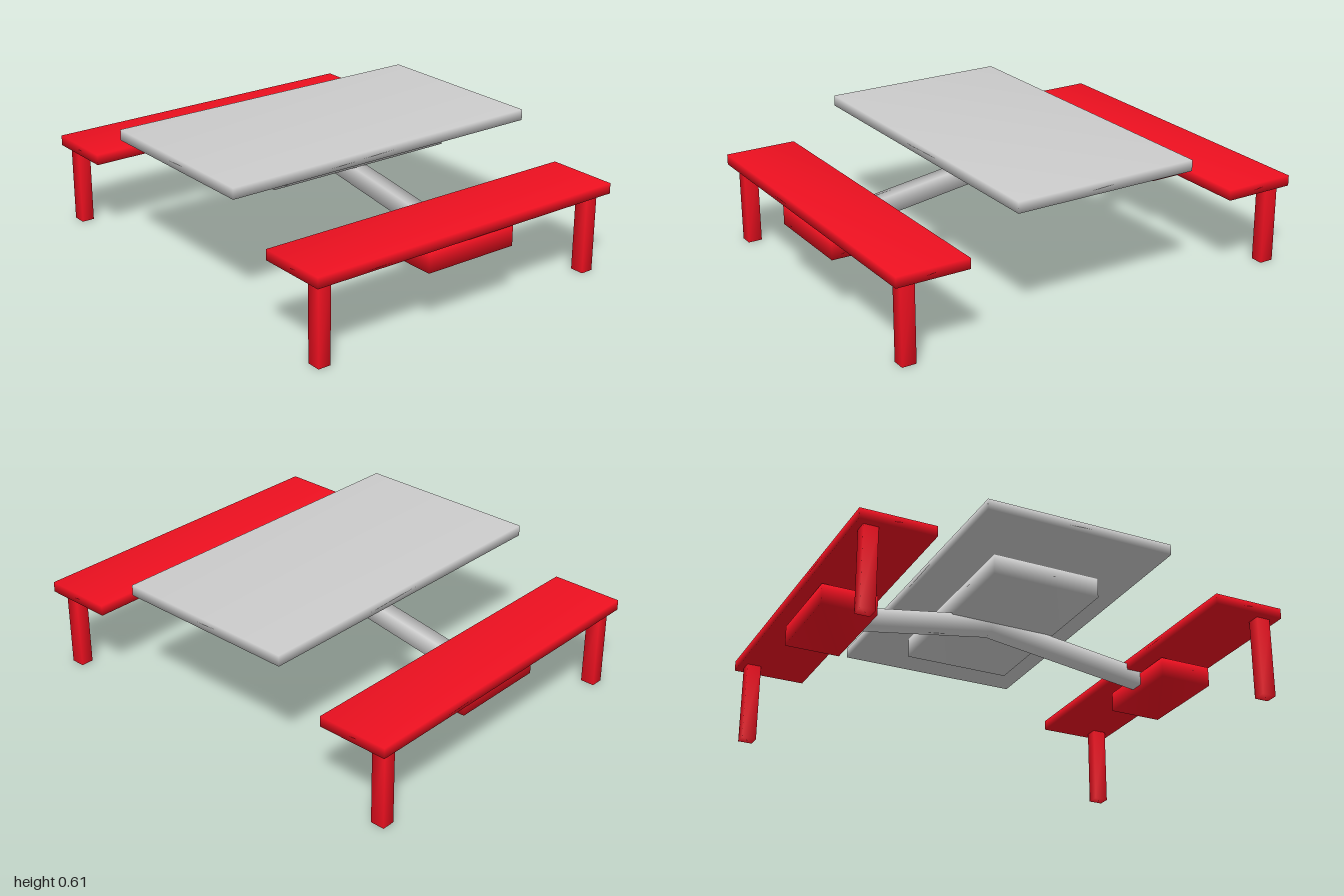
import * as THREE from 'three';
import { mergeVertices } from 'three/addons/utils/BufferGeometryUtils.js';

const grey = new THREE.MeshStandardMaterial({ color: 0xcccccc });
const red = new THREE.MeshStandardMaterial({ color: 0xee1020 });

// Weld corners so the shading rolls softly over the edges
function soften(geometry) {
  geometry.deleteAttribute('normal');
  geometry.deleteAttribute('uv');
  const welded = mergeVertices(geometry, 1e-4);
  welded.computeVertexNormals();
  return welded;
}

// Soft-shaded box given by its extents on each axis
function block(name, material, [x0, x1], [y0, y1], [z0, z1]) {
  const geometry = soften(new THREE.BoxGeometry(x1 - x0, y1 - y0, z1 - z0));
  const mesh = new THREE.Mesh(geometry, material);
  mesh.name = name;
  mesh.position.set((x0 + x1) / 2, (y0 + y1) / 2, (z0 + z1) / 2);
  return mesh;
}

// Bench with two legs and a bracket that holds the end of the arm
function bench(name, seatZ, legZ, bracketZ) {
  const group = new THREE.Group();
  group.name = name;
  group.add(
    block('seat', red, [-0.8, 0.8], [0.37, 0.418], seatZ),
    block('bracket', red, [-0.23, 0.23], [0.27, 0.364], bracketZ),
    block('rightLeg', red, [-0.767, -0.707], [0, 0.37], legZ),
    block('leftLeg', red, [0.7, 0.76], [0, 0.37], legZ)
  );
  return group;
}

// Bent arm: side profile in (z, y), extruded across x
function supportArm() {
  const width = 0.07, thick = 0.085;
  const bottom = [[0.86, 0.287], [-0.05, 0.415], [-0.82, 0.289]];
  const top = bottom.map(([z, y]) => [z, y + thick]).reverse();
  const shape = new THREE.Shape([...bottom, ...top].map(p => new THREE.Vector2(...p)));
  const geometry = new THREE.ExtrudeGeometry(shape, { depth: width, bevelEnabled: false });
  geometry.translate(0, 0, -width / 2);
  geometry.rotateY(-Math.PI / 2);
  const mesh = new THREE.Mesh(soften(geometry), grey);
  mesh.name = 'supportArm';
  return mesh;
}

export function createModel() {
  const model = new THREE.Group();
  model.name = 'picnicTable';
  model.add(
    block('tableTop', grey, [-0.8, 0.8], [0.555, 0.605], [-0.44, 0.44]),
    block('mountingPlate', grey, [-0.47, 0.47], [0.46, 0.552], [-0.25, 0.262]),
    supportArm(),
    bench('frontBench', [0.663, 1], [0.894, 0.96], [0.733, 0.988]),
    bench('backBench', [-1, -0.663], [-0.969, -0.903], [-0.942, -0.687])
  );
  return model;
}
